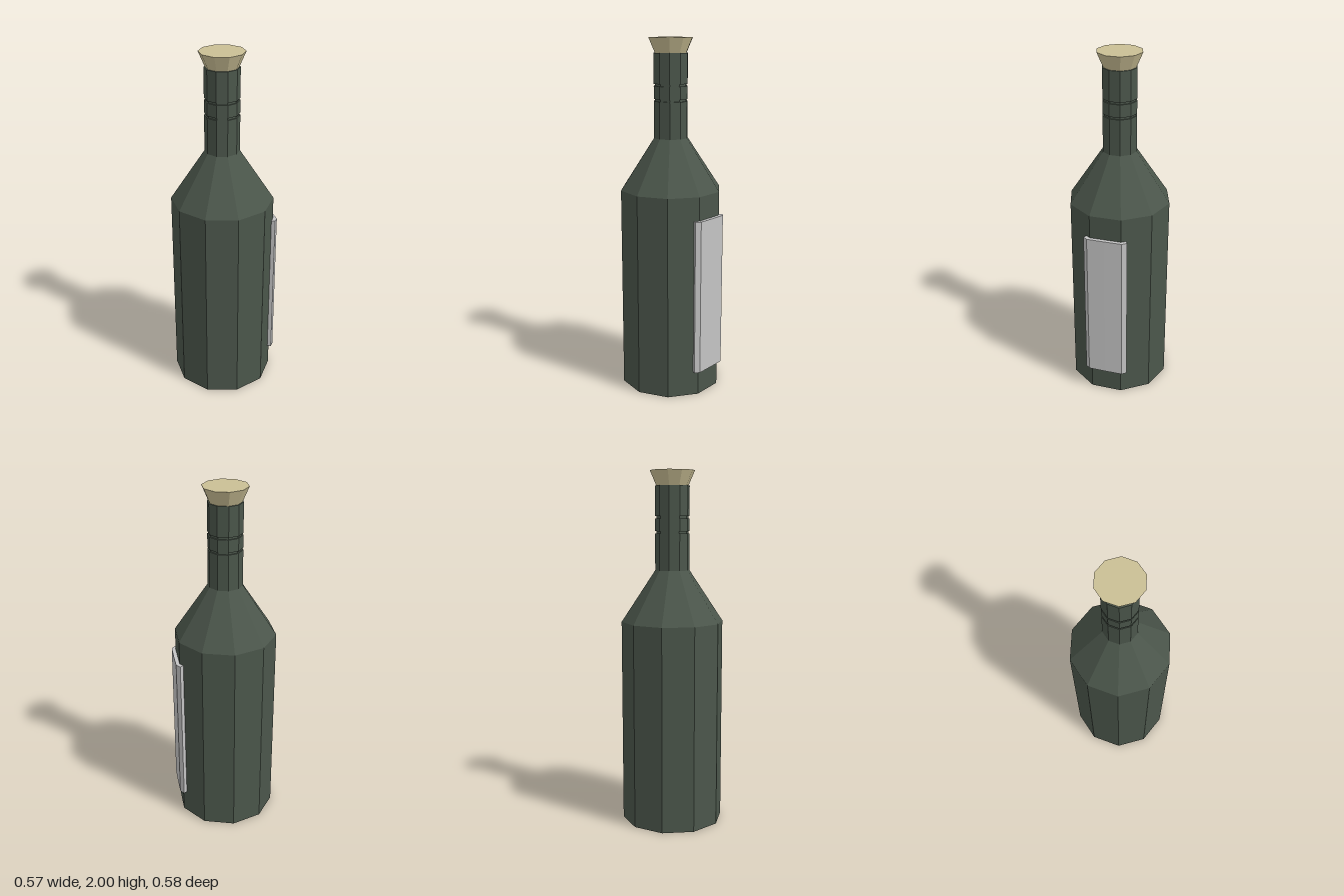
import * as THREE from 'three';

const SIDES = 10;

function makeMaterial(name, color) {
  const material = new THREE.MeshStandardMaterial({ color, flatShading: true });
  material.name = name;
  return material;
}

// Mesh with one normal per face
function facetedMesh(name, geometry, material) {
  const flat = geometry.index ? geometry.toNonIndexed() : geometry;
  flat.computeVertexNormals();
  const mesh = new THREE.Mesh(flat, material);
  mesh.name = name;
  return mesh;
}

// Ten-sided solid from a [radius, height] profile, listed bottom to top
function turned(name, profile, material) {
  const points = profile.map(([r, y]) => new THREE.Vector2(r, y));
  return facetedMesh(name, new THREE.LatheGeometry(points, SIDES), material);
}

export function createModel() {
  const model = new THREE.Group();
  model.name = 'bottle';

  const glass = makeMaterial('dark green glass', 0x4b564b);
  const corkTan = makeMaterial('cork tan', 0xcabf95);
  const paper = makeMaterial('label grey', 0xc4c4c4);

  // The label sticks out on one side, so the bottle axis sits slightly off centre
  const turnedParts = new THREE.Group();
  turnedParts.name = 'bottleAndCork';
  turnedParts.position.x = -0.011;
  model.add(turnedParts);

  // Body, shoulder and neck with two narrow grooves
  const neck = 0.097, groove = 0.09;
  const profile = [[0, 0], [0.289, 0], [0.289, 1.16], [neck, 1.45]];
  for (const y of [1.655, 1.738]) {
    profile.push([neck, y], [groove, y], [groove, y + 0.012], [neck, y + 0.012]);
  }
  profile.push([neck, 1.917], [0, 1.917]);
  turnedParts.add(turned('glassBottle', profile, glass));

  // Flared cork
  turnedParts.add(turned('cork', [[0, 1.917], [0.09, 1.917], [0.126, 2], [0, 2]], corkTan));

  // Label wrapped around the +x face, with bevelled ends
  const half = [[0.286, 0], [0.285, 0.1], [0.265, 0.125], [0.246, 0.113], [0.262, 0.088]];
  const mirrored = half.slice(1).reverse().map(([x, z]) => [x, -z]);
  const outline = new THREE.Shape([...half, ...mirrored].map(([x, z]) => new THREE.Vector2(x, z)));
  const labelGeometry = new THREE.ExtrudeGeometry(outline, { depth: 0.885, bevelEnabled: false });
  labelGeometry.rotateX(-Math.PI / 2);
  const label = facetedMesh('label', labelGeometry, paper);
  label.position.y = 0.142;
  model.add(label);

  return model;
}
